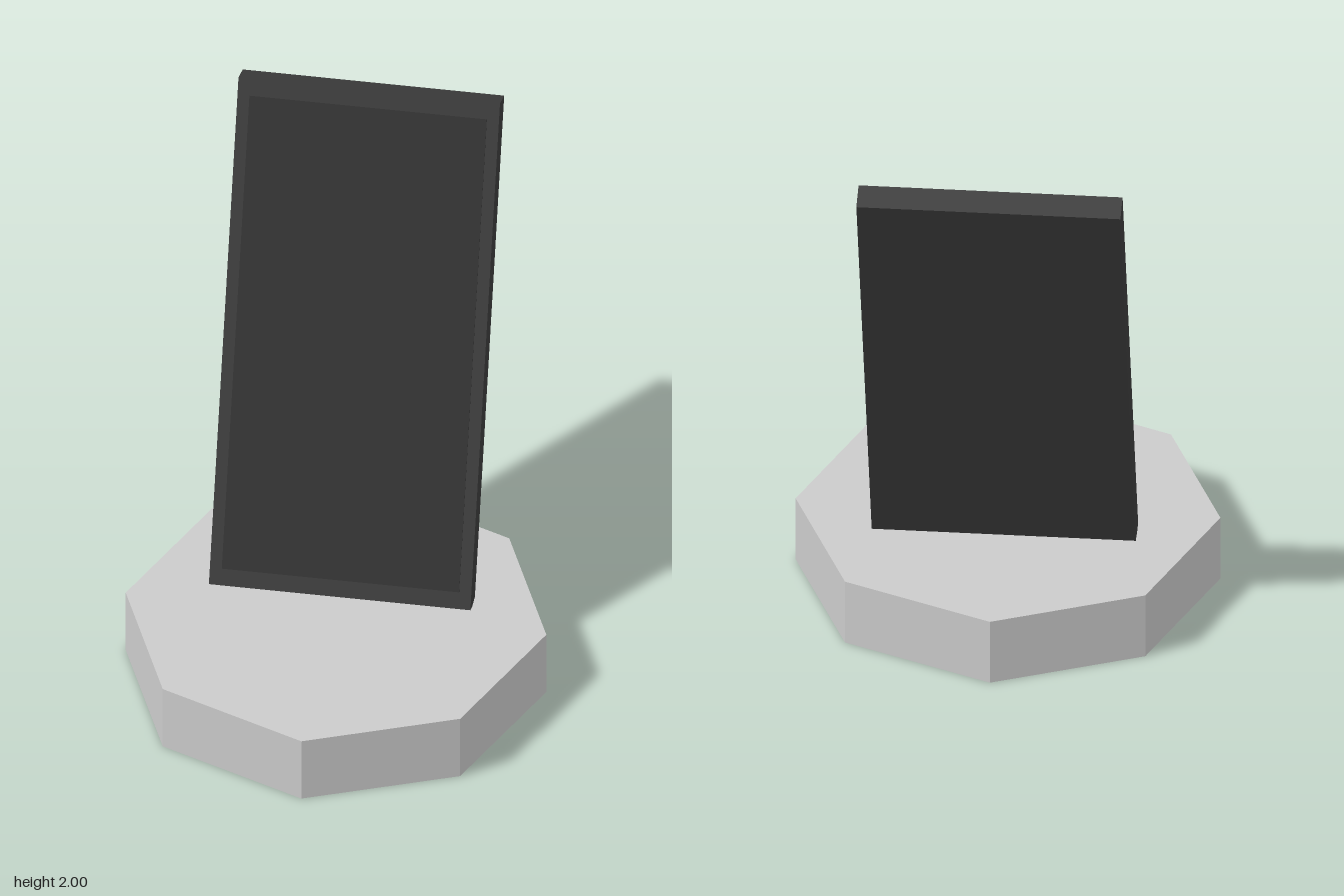
import * as THREE from 'three';

function part(name, geometry, color) {
  const mesh = new THREE.Mesh(geometry, new THREE.MeshStandardMaterial({ color, flatShading: true }));
  mesh.name = name;
  return mesh;
}

export function createModel() {
  const model = new THREE.Group();
  model.name = 'tiltedDisplay';

  // Eight-sided base with one corner facing the front
  const base = part('base', new THREE.CylinderGeometry(0.74, 0.74, 0.25, 8), 0xcccccc);
  base.position.set(0, 0.125, 0.03);
  model.add(base);

  // Display leaning back, its lower edge sunk slightly into the base
  const display = new THREE.Group();
  display.name = 'display';
  const depth = 0.096;
  const casing = part('casing', new THREE.BoxGeometry(0.92, 1.848, depth), 0x3b3b3b);

  // Thin screen panel standing just proud of the casing
  const screen = part('screen', new THREE.BoxGeometry(0.835, 1.724, 0.01), 0x323232);
  screen.position.z = depth / 2 - 0.001;
  display.add(casing, screen);
  display.position.set(0, 1.116, -0.408);
  display.rotation.x = -THREE.MathUtils.degToRad(20);
  model.add(display);

  return model;
}
